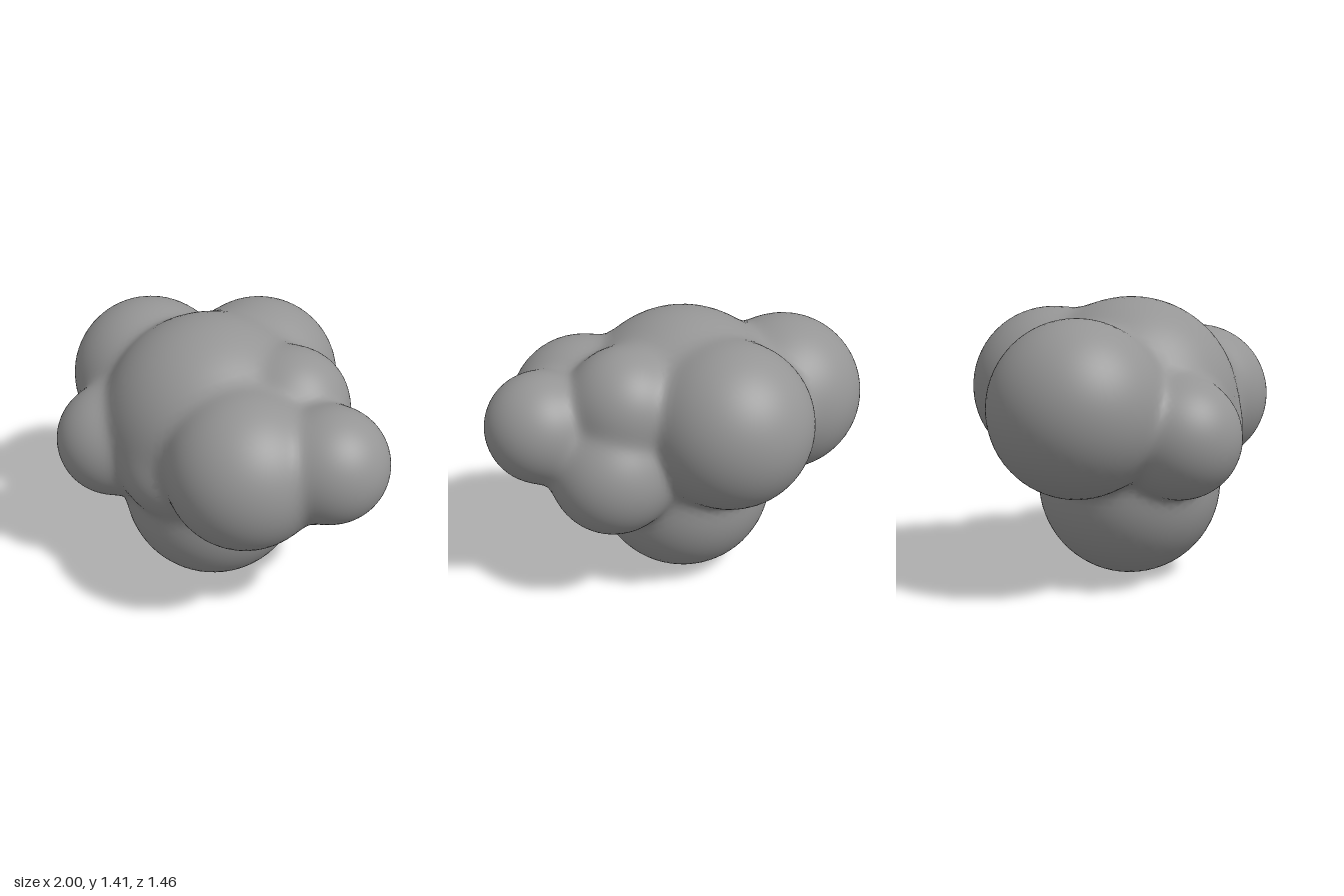
import * as THREE from 'three';

// Each puff of the cloud: name, centre x, y, z and radius
const PUFFS = [
  ['corePuff', -0.04, 0.87, 0.08, 0.54],
  ['basePuff', -0.035, 0.465, 0.07, 0.465],
  ['rightPuff', -0.585, 0.895, 0.0, 0.415],
  ['rightFrontPuff', -0.385, 0.757, 0.437, 0.29],
  ['frontPuff', 0.01, 0.75, 0.4, 0.235],
  ['leftFrontPuff', 0.42, 0.885, 0.305, 0.375],
  ['leftTipPuff', 0.725, 0.945, 0.065, 0.275],
  ['leftLowerPuff', 0.44, 0.735, -0.13, 0.315],
  ['leftUpperPuff', 0.345, 1.04, -0.08, 0.29],
  ['backPuff', -0.095, 0.95, -0.325, 0.41],
].map(([name, x, y, z, r]) => ({ name, center: new THREE.Vector3(x, y, z), r }));

const SOFTNESS = 0.025; // width of the soft joints between puffs
const REACH = 0.08; // how far inside a neighbour a puff still joins its skin

// Smooth union of all puffs: returns the distance and writes the outward normal
const offset = new THREE.Vector3();
function softField(point, normal) {
  normal.set(0, 0, 0);
  let sum = 0;
  for (const { center, r } of PUFFS) {
    offset.subVectors(point, center);
    const weight = Math.exp((r - offset.length()) / SOFTNESS);
    sum += weight;
    normal.addScaledVector(offset.normalize(), weight);
  }
  normal.normalize();
  return -SOFTNESS * Math.log(sum);
}

// A sphere whose surface is drawn out to meet its neighbours in soft creases
function makePuff({ name, center, r }, material) {
  const geometry = new THREE.IcosahedronGeometry(r, 11);
  geometry.translate(center.x, center.y, center.z);
  const { position, normal } = geometry.attributes;
  const p = new THREE.Vector3();
  const n = new THREE.Vector3();
  for (let i = 0; i < position.count; i++) {
    p.fromBufferAttribute(position, i);
    let distance = softField(p, n);
    if (distance > -REACH) {
      for (let step = 0; step < 4; step++) {
        p.addScaledVector(n, -distance);
        distance = softField(p, n);
      }
    }
    position.setXYZ(i, p.x, p.y, p.z);
    normal.setXYZ(i, n.x, n.y, n.z);
  }
  const mesh = new THREE.Mesh(geometry, material);
  mesh.name = name;
  return mesh;
}

export function createModel() {
  const cloud = new THREE.Group();
  cloud.name = 'cloud';
  const material = new THREE.MeshStandardMaterial({ color: 0x959595 });
  for (const puff of PUFFS) cloud.add(makePuff(puff, material));
  return cloud;
}
